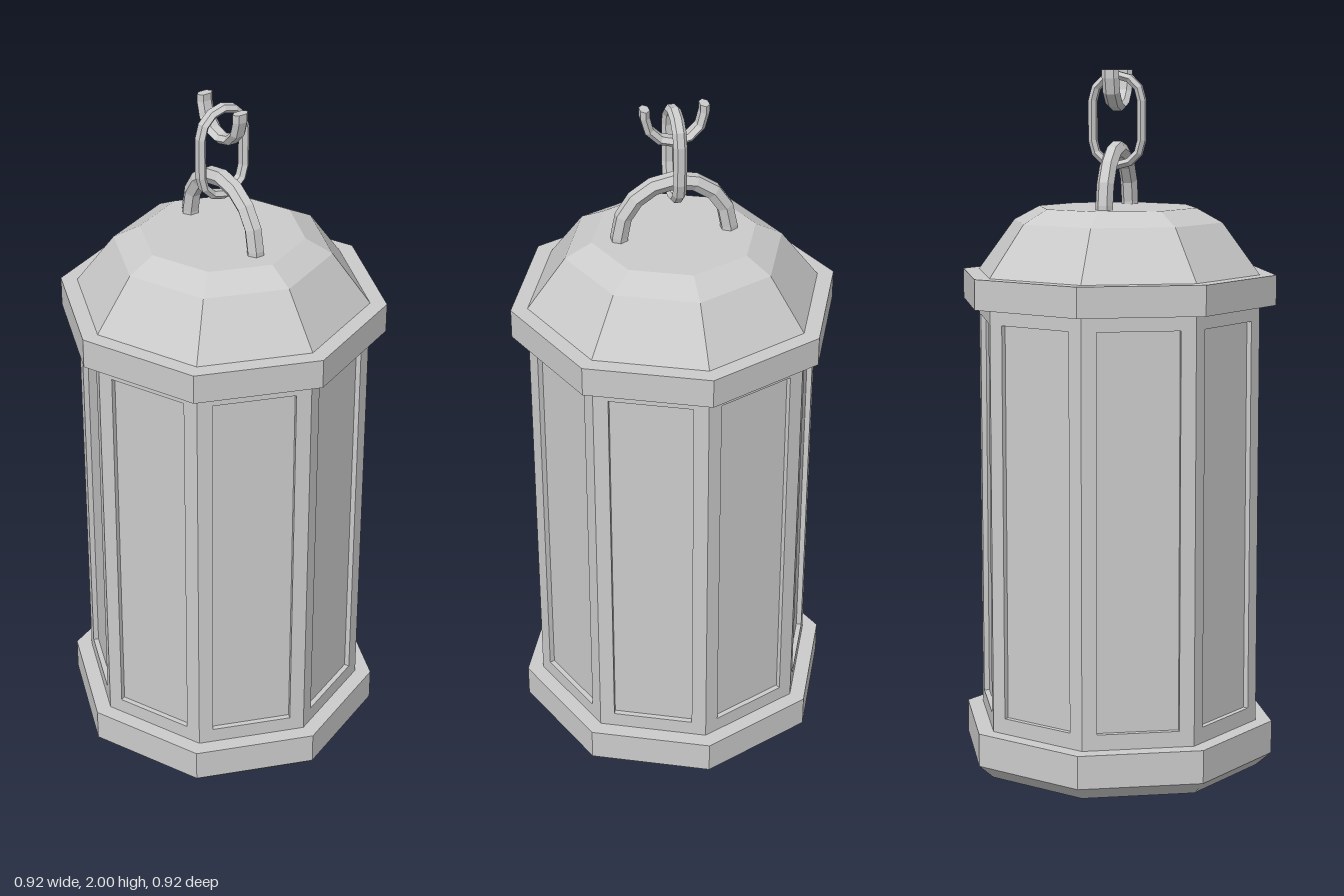
import * as THREE from 'three';

const SIDES = 8;
const BODY_R = 0.413, RECESS = 0.015;
const material = new THREE.MeshStandardMaterial({ color: 0xcccccc, flatShading: true });

function flatMesh(name, geometry) {
  const geo = geometry.index ? geometry.toNonIndexed() : geometry;
  geo.computeVertexNormals();
  const mesh = new THREE.Mesh(geo, material);
  mesh.name = name;
  return mesh;
}

// Octagonal solid from [radius, y] pairs, bottom to top
function octagon(name, profile) {
  return flatMesh(name, new THREE.LatheGeometry(profile.map(([r, y]) => new THREE.Vector2(r, y)), SIDES));
}

// Six-sided bar swept along a path in the xy plane; wide is its half size along z, thin in the plane
function bar(name, path, wide, thin, closed) {
  const n = path.length, rings = [], pos = [];
  path.forEach((p, i) => {
    const prev = closed ? path[(i + n - 1) % n] : path[Math.max(i - 1, 0)];
    const next = closed ? path[(i + 1) % n] : path[Math.min(i + 1, n - 1)];
    const t = next.clone().sub(prev).normalize();
    const ring = [];
    for (let k = 0; k < 6; k++) {
      const a = k * Math.PI / 3;
      const s = Math.sin(a) / Math.sin(Math.PI / 3) * thin;
      ring.push([p.x + t.y * s, p.y - t.x * s, Math.cos(a) * wide]);
    }
    rings.push(ring);
  });
  const tri = (a, b, c) => pos.push(...a, ...b, ...c);
  for (let i = 0; i < (closed ? n : n - 1); i++) {
    const A = rings[i], B = rings[(i + 1) % n];
    for (let k = 0; k < 6; k++) {
      const m = (k + 1) % 6;
      tri(A[k], A[m], B[m]);
      tri(A[k], B[m], B[k]);
    }
  }
  if (!closed) {
    const A = rings[0], B = rings[n - 1];
    for (let k = 1; k < 5; k++) {
      tri(A[0], A[k + 1], A[k]);
      tri(B[0], B[k], B[k + 1]);
    }
  }
  const geo = new THREE.BufferGeometry();
  geo.setAttribute('position', new THREE.Float32BufferAttribute(pos, 3));
  return flatMesh(name, geo);
}

// Points of an arc, counter-clockwise
function arc(cx, cy, r, from, to, steps) {
  const pts = [];
  for (let i = 0; i <= steps; i++) {
    const a = from + (to - from) * i / steps;
    pts.push(new THREE.Vector2(cx + r * Math.cos(a), cy + r * Math.sin(a)));
  }
  return pts;
}

// One side of the body: a flat frame around a window opening
function sideFrameGeometry() {
  const w = BODY_R * Math.sin(Math.PI / SIDES), hw = w - 0.042;
  const shape = new THREE.Shape();
  shape.moveTo(-w, 0.13).lineTo(w, 0.13).lineTo(w, 1.35).lineTo(-w, 1.35).closePath();
  const hole = new THREE.Path();
  hole.moveTo(-hw, 0.18).lineTo(-hw, 1.302).lineTo(hw, 1.302).lineTo(hw, 0.18).closePath();
  shape.holes.push(hole);
  const geo = new THREE.ExtrudeGeometry(shape, { depth: RECESS, bevelEnabled: false });
  geo.translate(0, 0, BODY_R * Math.cos(Math.PI / SIDES) - RECESS);
  return geo;
}

export function createModel() {
  const lantern = new THREE.Group();
  lantern.name = 'lantern';

  // Base, rim and stepped roof
  lantern.add(octagon('base', [[0, 0], [0.415, 0], [0.46, 0.04], [0.46, 0.135], [0, 0.135]]));
  lantern.add(octagon('upperRim', [[0, 1.345], [0.46, 1.345], [0.46, 1.43], [0, 1.43]]));
  lantern.add(octagon('roof', [[0.413, 1.43], [0.305, 1.575], [0.23, 1.615], [0, 1.615]]));

  // Window panes set back behind the frames
  const paneR = BODY_R - RECESS / Math.cos(Math.PI / SIDES);
  lantern.add(octagon('windowPanes', [[paneR, 0.12], [paneR, 1.36]]));

  const frames = new THREE.Group();
  frames.name = 'sideFrames';
  for (let i = 0; i < SIDES; i++) {
    const frame = flatMesh('sideFrame', sideFrameGeometry());
    frame.rotation.y = (i + 0.5) * 2 * Math.PI / SIDES;
    frames.add(frame);
  }
  lantern.add(frames);

  // Arched handle standing on the roof
  const handlePath = [
    new THREE.Vector2(0.153, 1.6),
    ...arc(0, 1.625, 0.153, 0, Math.PI, 8),
    new THREE.Vector2(-0.153, 1.6),
  ];
  lantern.add(bar('handle', handlePath, 0.025, 0.0217, false));

  // Closed chain link, turned across the handle
  const linkPath = [
    ...arc(0, 1.914, 0.071, 0, Math.PI, 6),
    ...arc(0, 1.803, 0.071, Math.PI, 2 * Math.PI, 6),
  ];
  const link = bar('chainLink', linkPath, 0.019, 0.0115, true);
  link.rotation.y = Math.PI / 2;
  lantern.add(link);

  // Open half link at the top
  const halfPath = [
    new THREE.Vector2(-0.081, 2),
    ...arc(0, 1.978, 0.081, Math.PI, 2 * Math.PI, 6),
    new THREE.Vector2(0.081, 2),
  ];
  lantern.add(bar('openLink', halfPath, 0.025, 0.0125, false));

  return lantern;
}
